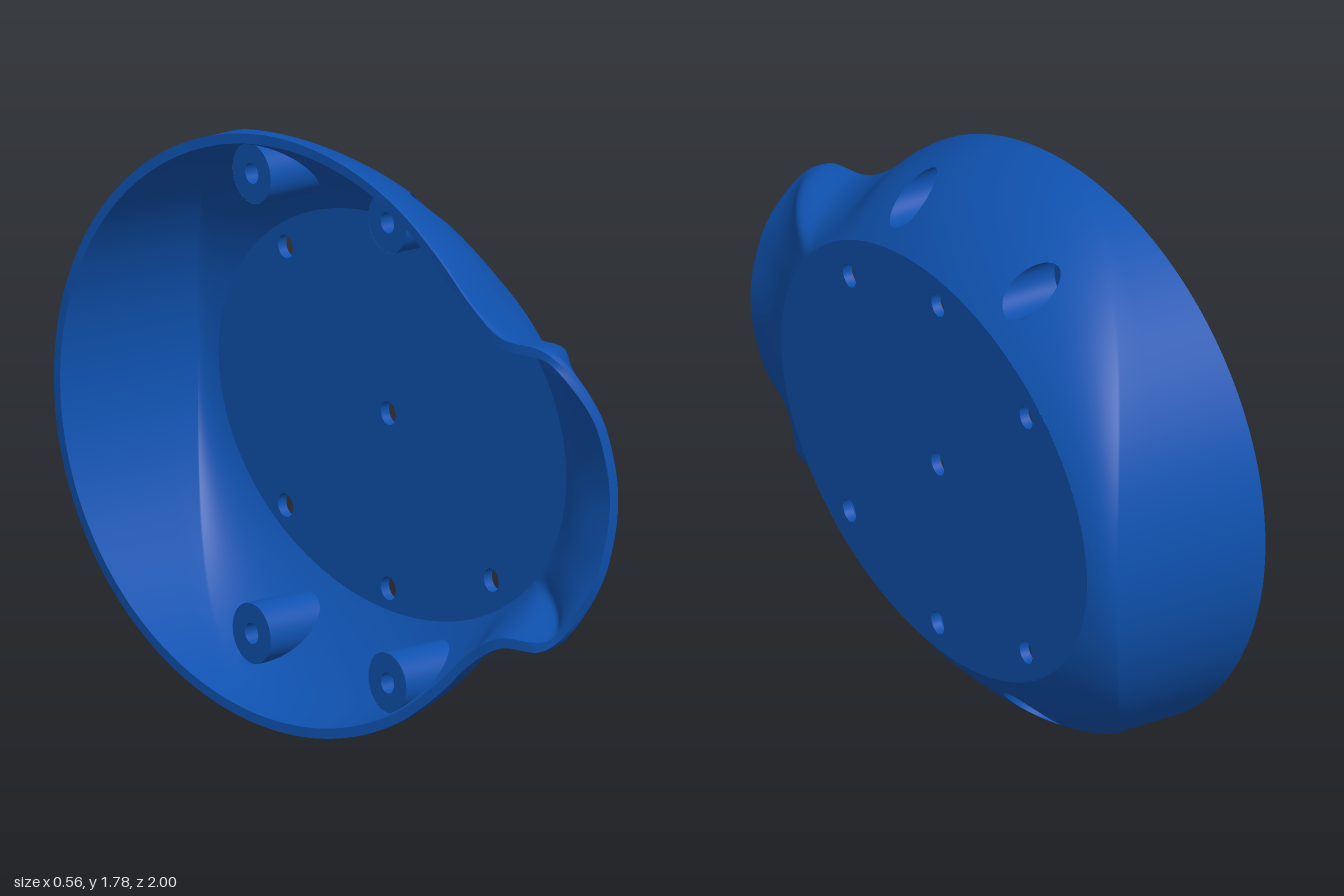
import * as THREE from 'three';

const V = (x, y, z) => new THREE.Vector3(x, y, z);
const CY = 0.89, CZ = -0.11, R = 0.89;            // main round outline
const PLATE = { z: -0.09, a: 0.84, b: 0.61, x: 0.28, t: 0.03 };
const WALL = 0.03, AROUND = 360;

// Stations on the upper half, spout tip first: z, height over axis, rim x, side wall end x, curve pull r, curve pull x
const stations = [
  [1.0, 0, 0.23, 0.23, 0.7, 0],
  [0.995, 0.13, 0.215, 0.217, 0.6, 0.1],
  [0.975, 0.26, 0.18, 0.185, 0.5, 0.3],
  [0.93, 0.39, 0.1, 0.12, 0.35, 0.55],
  [0.87, 0.453, 0.045, 0.07, 0.2, 0.75],
  [0.74, 0.465, 0.005, 0.03, 0.3, 0.6],
  [0.62, 0.535, -0.01, 0.0, 0.33, 0.5],
];
for (let deg = 48; deg <= 180; deg += 12) {
  const a = THREE.MathUtils.degToRad(deg), z = CZ + R * Math.cos(a);
  const rim = -0.28 + 0.165 * (z + 1), u = Math.max(0, (0.1 - z) / 1.1);
  stations.push([z, R * Math.sin(a), rim, rim + Math.max(0.01, 0.5 * u * u), 0.2, 0.57]);
}
const mirrored = stations.slice(1, -1).reverse().map(([z, h, ...rest]) => [z, -h, ...rest]);
const loop = [...stations, ...mirrored];
const outline = new THREE.CatmullRomCurve3(loop.map(s => V(s[2], CY + s[1], s[0])), true, 'catmullrom', 0.5);
const shaping = new THREE.CatmullRomCurve3(loop.map(s => V(s[3], s[4], s[5])), true, 'catmullrom', 0.5);

// One cross-section of the shell: outer and inner skins, each from rim to plate
function section(t) {
  const o = outline.getPoint(t), k = shaping.getPoint(t), tan = outline.getTangent(t);
  const ang = Math.atan2(o.y - CY, o.z - PLATE.z);
  const rp = 1 / Math.hypot(Math.cos(ang) / PLATE.a, Math.sin(ang) / PLATE.b);
  const skin = (rim, sideX, ctrl, end) => {
    const side = V(sideX, rim.y, rim.z), pts = [];
    for (let i = 0; i < 4; i++) pts.push(rim.clone().lerp(side, i / 4));
    return pts.concat(new THREE.QuadraticBezierCurve3(side, ctrl, end).getPoints(26));
  };
  const plateAt = (r, x) => V(x, CY + r * Math.sin(ang), PLATE.z + r * Math.cos(ang));
  const end = plateAt(rp, PLATE.x);
  const ctrl = o.clone().lerp(end, k.y);
  ctrl.x = k.x + (PLATE.x - k.x) * k.z;
  const outer = skin(o, k.x, ctrl, end);

  // the wall thickness turns from radial to sideways toward the spout tip
  const w = THREE.MathUtils.smoothstep(o.z, 0.85, 0.98);
  const n = V(0, tan.z, -tan.y).normalize();
  if (n.y * (CY - o.y) + n.z * (CZ - o.z) < 0) n.negate();
  const inRim = o.clone().addScaledVector(n, WALL * (1 - w));
  inRim.x -= WALL * w;
  const inCtrl = ctrl.clone().addScaledVector(n, 0.025);
  inCtrl.x -= 0.02 + 0.01 * w;
  const inner = skin(inRim, k.x - WALL * w, inCtrl, plateAt(rp - 0.02, PLATE.x - PLATE.t));
  return { outer, inner, rim: [inRim, o] };
}

// Closed grid through equal-length sections
function loft(sections) {
  const m = sections[0].length, n = sections.length, index = [];
  for (let u = 0; u < n; u++) for (let v = 0; v < m - 1; v++) {
    const a = u * m + v, c = ((u + 1) % n) * m + v;
    index.push(a, a + 1, c, c, a + 1, c + 1);
  }
  const g = new THREE.BufferGeometry().setFromPoints(sections.flat());
  g.setIndex(index);
  g.computeVertexNormals();
  return g;
}

// Cut round holes along x through a skin and run a wall from each cut edge to x = floor
function bore(geometry, holes, radius, floor, sign) {
  const src = geometry.toNonIndexed(), P = src.attributes.position, N = src.attributes.normal;
  const pos = [], nor = [];
  const put = (p, n) => { pos.push(p.x, p.y, p.z); nor.push(n.x, n.y, n.z); };
  for (let i = 0; i < P.count; i += 3) {
    const tri = [0, 1, 2].map(j => ({
      p: new THREE.Vector3().fromBufferAttribute(P, i + j),
      n: new THREE.Vector3().fromBufferAttribute(N, i + j),
    }));
    const dist = (q, h) => Math.hypot(q.p.z - h[0], q.p.y - h[1]) - radius;
    const hole = holes.find(h => tri.some(q => dist(q, h) < 0));
    if (!hole) { tri.forEach(q => put(q.p, q.n)); continue; }
    const poly = [];
    let exit, enter;
    tri.forEach((q, j) => {
      const r = tri[(j + 1) % 3], d0 = dist(q, hole), d1 = dist(r, hole);
      if (d0 >= 0) poly.push(q);
      if ((d0 >= 0) === (d1 >= 0)) return;
      const t = d0 / (d0 - d1);
      const cut = { p: q.p.clone().lerp(r.p, t), n: q.n.clone().lerp(r.n, t).normalize() };
      poly.push(cut);
      if (d0 >= 0) exit = cut.p; else enter = cut.p;
    });
    for (let j = 1; j < poly.length - 1; j++) [poly[0], poly[j], poly[j + 1]].forEach(q => put(q.p, q.n));
    if (!exit || !enter) continue;
    const low = p => V(floor, p.y, p.z);
    for (const p of [enter, exit, low(exit), enter, low(exit), low(enter)])
      put(p, V(0, p.y - hole[1], p.z - hole[0]).normalize().multiplyScalar(sign));
  }
  const g = new THREE.BufferGeometry();
  g.setAttribute('position', new THREE.Float32BufferAttribute(pos, 3));
  g.setAttribute('normal', new THREE.Float32BufferAttribute(nor, 3));
  return g;
}

// Flat disc facing x, with round holes given as [z, y]
function disc(z, y, a, b, holes, holeR, depth) {
  const shape = new THREE.Shape().absellipse(-z, y, a, b, 0, Math.PI * 2);
  for (const [hz, hy] of holes) shape.holes.push(new THREE.Path().absarc(-hz, hy, holeR, 0, Math.PI * 2, true));
  return new THREE.ExtrudeGeometry(shape, { depth, bevelEnabled: false, curveSegments: 48 }).rotateY(Math.PI / 2);
}

export function createModel() {
  const group = new THREE.Group();
  const material = new THREE.MeshStandardMaterial({ color: 0x0f52b0, side: THREE.DoubleSide });
  const add = (name, geometry, x = 0) => {
    const mesh = new THREE.Mesh(geometry, material);
    mesh.name = name;
    mesh.position.x = x;
    group.add(mesh);
  };
  const bosses = [[0.21, 1.58], [-0.43, 1.58], [0.21, 0.2], [-0.43, 0.2]];
  const sections = Array.from({ length: AROUND }, (_, i) => section(i / AROUND));

  // Shell skins and the rim between them
  add('outerShell', bore(loft(sections.map(s => s.outer)), bosses, 0.07, 0.04, -1));
  add('innerShell', bore(loft(sections.map(s => s.inner.slice().reverse())), bosses, 0.09, 0, 1));
  add('rimEdge', loft(sections.map(s => s.rim)));

  // Flat face plate with its seven holes
  const plateHoles = [[CZ, CY], [CZ, CY + 0.525], [CZ, CY - 0.525]];
  for (const dz of [-0.485, 0.485]) for (const dy of [-0.388, 0.388]) plateHoles.push([CZ + dz, CY + dy]);
  add('facePlate', disc(PLATE.z, CY, PLATE.a, PLATE.b, plateHoles, 0.035, PLATE.t), PLATE.x - PLATE.t);

  // Floors of the recessed screw bosses
  for (const [z, y] of bosses) add('screwBossFloor', disc(z, y, 0.089, 0.089, [[z, y]], 0.031, 0.04));
  return group;
}
